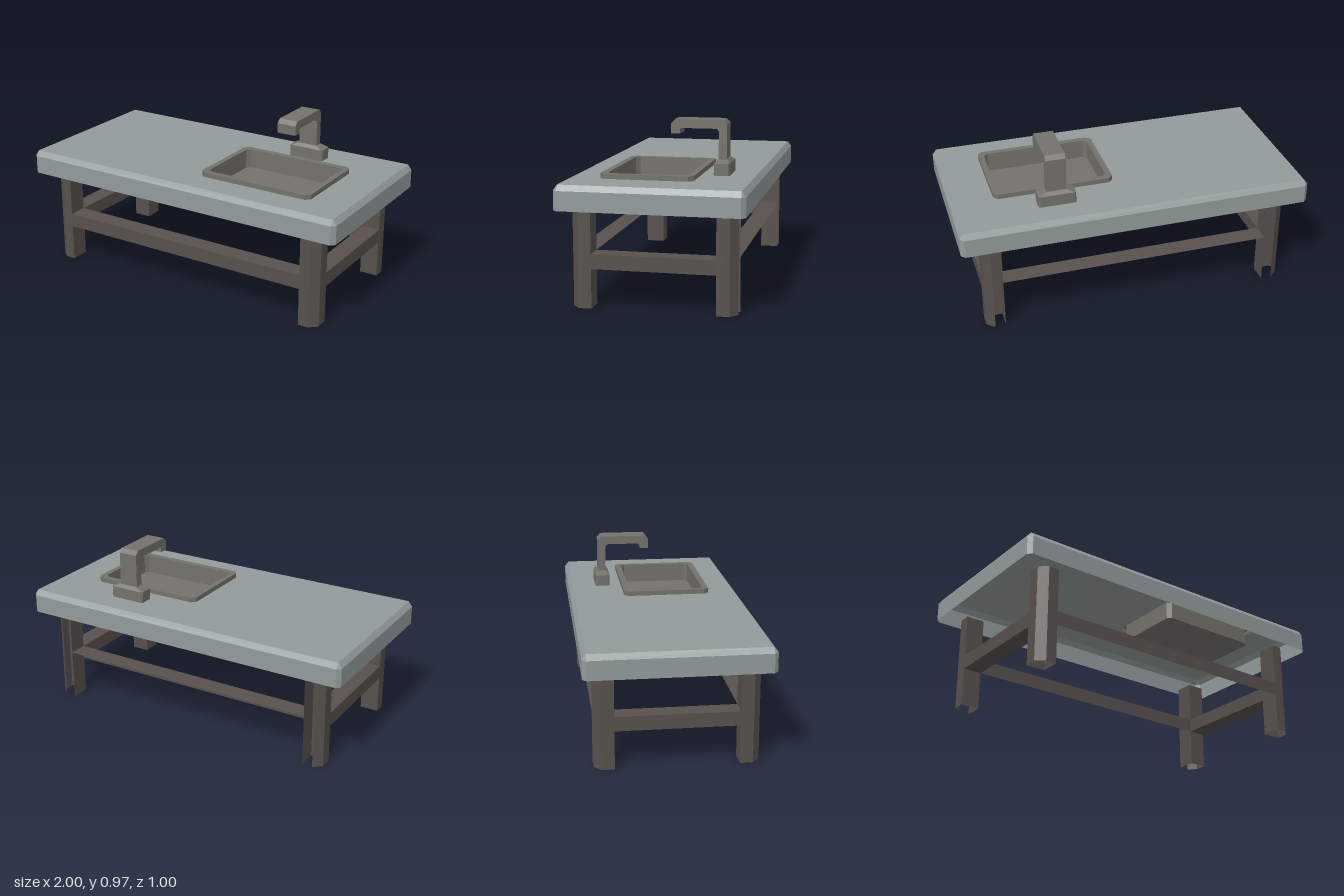
import * as THREE from 'three';

const material = (color) => new THREE.MeshStandardMaterial({
  color, flatShading: true, side: THREE.DoubleSide,
});
const stone = material(0x929c9a);
const steel = material(0x74726c);
const wood = material(0x58514d);

// Rectangle with cut corners at height y, counter-clockwise seen from above.
function ring(cx, cz, hx, hz, cut, y) {
  return [
    [hx, hz - cut], [hx, -hz + cut], [hx - cut, -hz], [-hx + cut, -hz],
    [-hx, -hz + cut], [-hx, hz - cut], [-hx + cut, hz], [hx - cut, hz],
  ].map(([x, z]) => [cx + x, y, cz + z]);
}

// Joins equal rings with flat quads; the last ring may be capped,
// and an open outline leaves out the side between its two ends.
function loft(rings, { capped = false, open = false } = {}) {
  const points = [];
  const tri = (a, b, c) => points.push(...a, ...b, ...c);
  const n = rings[0].length;
  for (let r = 0; r < rings.length - 1; r++) {
    for (let i = 0; i < (open ? n - 1 : n); i++) {
      const j = (i + 1) % n;
      tri(rings[r][i], rings[r][j], rings[r + 1][j]);
      tri(rings[r][i], rings[r + 1][j], rings[r + 1][i]);
    }
  }
  const last = rings[rings.length - 1];
  if (capped) for (let i = 1; i < n - 1; i++) tri(last[0], last[i], last[i + 1]);
  const geometry = new THREE.BufferGeometry();
  geometry.setAttribute('position', new THREE.Float32BufferAttribute(points, 3));
  geometry.computeVertexNormals();
  return geometry;
}

function add(parent, name, geometry, mat, x = 0, y = 0, z = 0) {
  const mesh = new THREE.Mesh(geometry, mat);
  mesh.name = name;
  mesh.position.set(x, y, z);
  parent.add(mesh);
}

function addGroup(parent, name) {
  const child = new THREE.Group();
  child.name = name;
  parent.add(child);
  return child;
}

// Flat shape coordinates (x, -z) so that the shape lies level after rotation.
const flat = (points) => points.map(([x, , z]) => new THREE.Vector2(x, -z));

export function createModel() {
  const group = new THREE.Group();
  group.name = 'sinkTable';
  const sinkX = 0.413, sinkZ = 0.0675;

  // Countertop: bevelled shell, open underneath, with a cutout for the sink
  const counter = addGroup(group, 'countertop');
  const topRing = ring(0, 0, 0.978, 0.478, 0.002, 0.675);
  add(counter, 'countertopEdge', loft([
    ring(0, 0, 1, 0.5, 0.022, 0.54),
    ring(0, 0, 1, 0.5, 0.022, 0.645),
    topRing,
  ]), stone);
  const topShape = new THREE.Shape(flat(topRing));
  topShape.holes.push(new THREE.Path(flat(ring(sinkX, sinkZ, 0.335, 0.243, 0.03, 0)).reverse()));
  add(counter, 'countertopSurface',
    new THREE.ShapeGeometry(topShape).rotateX(-Math.PI / 2), stone, 0, 0.675, 0);

  // Sink: raised rim and sunken basin
  add(group, 'sink', loft([
    ring(sinkX, sinkZ, 0.344, 0.2525, 0.026, 0.675),
    ring(sinkX, sinkZ, 0.344, 0.2525, 0.026, 0.702),
    ring(sinkX, sinkZ, 0.312, 0.217, 0.022, 0.702),
    ring(sinkX, sinkZ, 0.312, 0.217, 0.022, 0.59),
  ], { capped: true }), steel);

  // Tap: bevelled foot and a bent spout
  const tap = addGroup(group, 'tap');
  add(tap, 'tapBase', loft([
    ring(0.431, -0.296, 0.106, 0.043, 0.008, 0.675),
    ring(0.431, -0.296, 0.106, 0.043, 0.008, 0.74),
    ring(0.431, -0.296, 0.06, 0.027, 0.005, 0.758),
  ], { capped: true }), steel);
  const spout = new THREE.Shape([
    [0.317, 0.75], [0.317, 0.947], [0.296, 0.97], [0.032, 0.97], [0.01, 0.947],
    [0.01, 0.892], [0.06, 0.892], [0.06, 0.922], [0.26, 0.922], [0.272, 0.908], [0.272, 0.75],
  ].map(([z, y]) => new THREE.Vector2(z, y)));
  const spoutGeometry = new THREE.ExtrudeGeometry(spout, { depth: 0.113, bevelEnabled: false });
  add(tap, 'tapSpout', spoutGeometry.rotateY(Math.PI / 2), steel, 0.375, 0, 0);

  // Legs: hollow posts with the outer corner cut away, back legs open to the rear
  const legOutline = [
    [0.838, 0.443], [0.884, 0.403], [0.884, 0.333], [0.778, 0.333], [0.778, 0.443],
  ];
  for (const sx of [-1, 1]) {
    for (const sz of [-1, 1]) {
      const outline = legOutline.map(([x, z]) => [sx * x, sz * z]);
      if (sx * sz < 0) outline.reverse();
      // Both orders start and end at the outer face, so it can be left open
      const at = (y) => outline.map(([x, z]) => [x, y, z]);
      const name = (sz > 0 ? 'front' : 'back') + (sx > 0 ? 'Left' : 'Right') + 'Leg';
      add(group, name, loft([at(0), at(0.54)], { open: sz < 0 }), wood);
    }
  }

  // Long rails: a top and a front board, as deep as the legs
  for (const s of [-1, 1]) {
    const rail = addGroup(group, s > 0 ? 'frontRail' : 'backRail');
    add(rail, 'railTop', new THREE.PlaneGeometry(1.556, 0.11).rotateX(-Math.PI / 2),
      wood, 0, 0.295, s * 0.388);
    add(rail, 'railFront', new THREE.PlaneGeometry(1.556, 0.08),
      wood, 0, 0.255, s * 0.388 + 0.055);
  }

  // Side rails between front and back legs
  for (const s of [-1, 1]) {
    add(group, s > 0 ? 'leftRail' : 'rightRail',
      new THREE.BoxGeometry(0.106, 0.08, 0.666), wood, s * 0.831, 0.255, 0);
  }

  return group;
}
